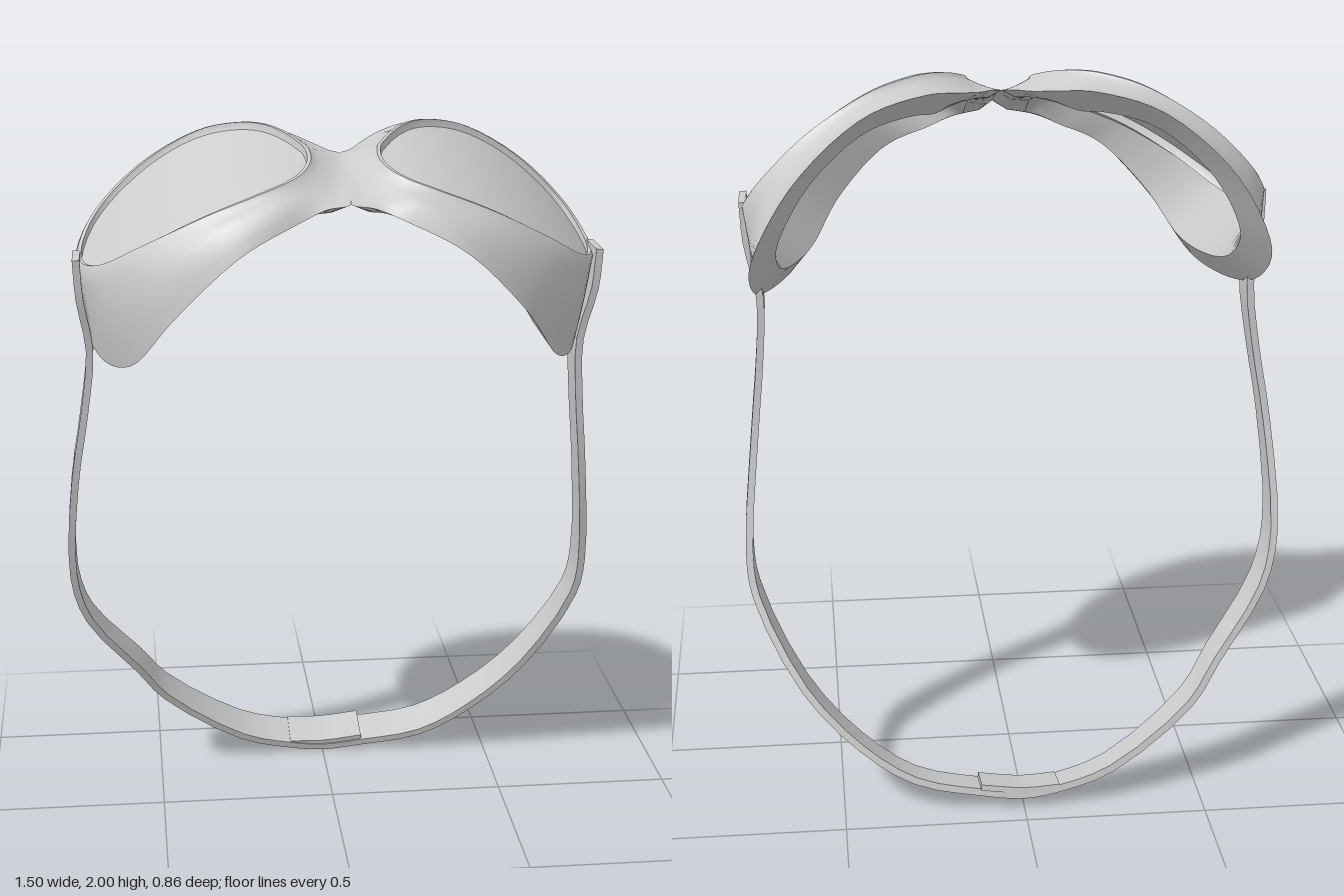
import * as THREE from 'three';
import { mergeGeometries, toCreasedNormals } from 'three/addons/utils/BufferGeometryUtils.js';

const V = (x, y, z) => new THREE.Vector3(x, y, z);
const { clamp, lerp, smoothstep } = THREE.MathUtils;

// Skin a list of closed rings that all have the same point count
function loft(rings, flip = false) {
  const n = rings[0].length, pos = [], index = [];
  rings.forEach(r => r.forEach(p => pos.push(p.x, p.y, p.z)));
  for (let i = 0; i < rings.length - 1; i++) {
    for (let j = 0; j < n; j++) {
      const k = (j + 1) % n;
      const a = i * n + j, b = a + n, c = i * n + k, d = c + n;
      if (flip) index.push(a, b, c, c, b, d);
      else index.push(a, c, b, c, d, b);
    }
  }
  const g = new THREE.BufferGeometry();
  g.setAttribute('position', new THREE.Float32BufferAttribute(pos, 3));
  g.setIndex(index);
  return g;
}

// Rings of the left half, mirrored for the right half
const half = (rings, side) => loft(rings.map(r => r.map(p => V(p.x * side, p.y, p.z))), side < 0);

function mesh(name, geometry, crease) {
  const material = new THREE.MeshStandardMaterial({ color: 0xcccccc, side: THREE.DoubleSide });
  const m = new THREE.Mesh(toCreasedNormals(geometry, crease), material);
  m.name = name;
  return m;
}

// Curved, tilted sheet on which the lens lies
const lensY = (x, z) => 1.968 - (x - 0.1) ** 2 - 0.34 * (z - 0.07);

// Lens outline (x, z) and matching face-side outline (x, y, z), from the nose round the back
const LENS = [[0.105, 0.13], [0.12, 0.1], [0.15, 0.05], [0.2, -0.01], [0.26, -0.055], [0.37, -0.11], [0.53, -0.145],
  [0.65, -0.13], [0.692, -0.05], [0.685, 0.05], [0.63, 0.17], [0.52, 0.265], [0.37, 0.325], [0.23, 0.325],
  [0.16, 0.295], [0.12, 0.25], [0.1, 0.19]];
const FACE = [[0, 1.93, 0.07], [0.028, 1.935, 0.045], [0.07, 1.945, -0.03], [0.13, 1.96, -0.11], [0.22, 1.97, -0.18],
  [0.39, 1.93, -0.265], [0.57, 1.78, -0.325], [0.685, 1.57, -0.275], [0.69, 1.43, -0.1], [0.64, 1.38, 0.1],
  [0.565, 1.41, 0.25], [0.46, 1.56, 0.38], [0.29, 1.73, 0.43], [0.14, 1.805, 0.39], [0.06, 1.835, 0.358],
  [0, 1.845, 0.35], [0, 1.9, 0.2]];
const SEG = 84;

function smoothLoop(points) {
  const curve = new THREE.CatmullRomCurve3(points, true, 'centripetal');
  return Array.from({ length: SEG }, (_, i) => curve.getPoint(i / SEG));
}

// Soft frame with both lenses
function eyewear() {
  const group = new THREE.Group();
  group.name = 'eyewear';
  const edge = smoothLoop(LENS.map(([x, z]) => V(x, lensY(x, z), z)));
  const face = smoothLoop(FACE.map(p => V(...p)));
  face.forEach(p => { p.x = Math.max(0, p.x); });
  const middle = V(0.4, 0, 0.09), centroid = V(0.38, 1.68, 0.07);
  const outward = p => V(p.x - middle.x, 0, p.z - middle.z).normalize();
  const noseness = i => 1 - smoothstep(face[i].x, 0, 0.16);

  // Offset of the lens edge: outwards in plan, then up
  const offset = (out, up) => edge.map(p => p.clone().addScaledVector(outward(p), out).add(V(0, up, 0)));
  const rim = offset(0.018, 0.003);

  // Skirt: bulges at the front, hollow at the back, levels out on the bridge
  const skirt = t => rim.map((p, i) => {
    const q = p.clone().lerp(face[i], t), w = noseness(i);
    const bulge = 0.014 * clamp(q.z * 5, -1, 1) * Math.sin(Math.PI * t) * (1 - w);
    q.addScaledVector(outward(q), bulge);
    q.y = lerp(q.y + bulge, lerp(p.y, face[i].y, Math.sin(t * Math.PI / 2)), w);
    q.x = Math.max(0, q.x);
    return q;
  });

  // Flange that rests on the face
  const flange = t => face.map((p, i) => {
    const q = p.clone().lerp(centroid, t);
    q.y = lerp(q.y, p.y - 0.02, noseness(i));
    return q;
  });
  const rings = [offset(0, -0.012), offset(0.002, 0.012), offset(0.012, 0.012), rim,
    skirt(0.2), skirt(0.4), skirt(0.6), skirt(0.8), face,
    flange(0.1), flange(0.23), offset(0, -0.035), offset(-0.012, -0.03), offset(0, -0.012)];
  group.add(mesh('frame', mergeGeometries([half(rings, 1), half(rings, -1)]), 0.8));

  // Lens: shrinking outlines that follow the curved sheet
  const lens = [];
  for (let i = 0; i <= 8; i++) {
    lens.push(edge.map(p => {
      const x = lerp(middle.x, p.x, i / 8), z = lerp(middle.z, p.z, i / 8);
      return V(x, lensY(x, z) - 0.008, z);
    }));
  }
  group.add(mesh('leftLens', half(lens, 1), 0.7), mesh('rightLens', half(lens, -1), 0.7));
  return group;
}

// Flat band along a path of [x, y, z, width]
function band(path, thickness, samples) {
  const curve = new THREE.CatmullRomCurve3(path.map(p => V(p[0], p[1], p[2])), false, 'centripetal');
  const rings = [];
  for (let i = 0; i <= samples; i++) {
    const t = i / samples, p = curve.getPoint(t), tangent = curve.getTangent(t);
    const f = t * (path.length - 1), k = Math.min(Math.floor(f), path.length - 2);
    const halfWidth = lerp(path[k][3], path[k + 1][3], f - k) / 2;
    // The band tilts slightly where it runs round the back of the head
    const w = V(0, 0.25 * clamp(1 - p.y / 0.6, 0, 1), -1).normalize();
    const n = tangent.cross(w).normalize();
    rings.push([[1, 1], [-1, 1], [-1, -1], [1, -1]].map(([a, b]) =>
      p.clone().addScaledVector(w, a * halfWidth).addScaledVector(n, b * thickness / 2)));
  }
  // Close both ends
  for (const end of [rings[0], rings[samples]]) {
    const centre = end[0].clone().add(end[2]).multiplyScalar(0.5);
    const cap = end.map(() => centre);
    if (end === rings[0]) rings.unshift(cap);
    else rings.push(cap);
    samples++;
  }
  return loft(rings);
}

export function createModel() {
  const group = new THREE.Group();
  group.name = 'goggles';
  const eyes = eyewear();
  eyes.position.x = 0.012;
  group.add(eyes);

  // Head strap, from the left eyepiece round the back to the right one
  group.add(mesh('strap', band([
    [0.722, 1.66, 0.035, 0.13], [0.715, 1.55, 0.025, 0.13], [0.685, 1.4, 0.005, 0.11], [0.69, 1.25, -0.005, 0.1],
    [0.715, 1.0, -0.035, 0.1], [0.74, 0.7, -0.115, 0.115], [0.725, 0.58, -0.15, 0.12], [0.6, 0.33, -0.25, 0.125],
    [0.45, 0.17, -0.31, 0.125], [0.3, 0.075, -0.345, 0.125], [0.12, 0.04, -0.365, 0.125], [0, 0.027, -0.37, 0.125],
    [-0.1, 0.04, -0.365, 0.125], [-0.25, 0.085, -0.345, 0.125], [-0.48, 0.25, -0.285, 0.125],
    [-0.56, 0.36, -0.24, 0.125], [-0.7, 0.55, -0.16, 0.12], [-0.74, 0.7, -0.115, 0.115], [-0.725, 1.0, -0.035, 0.1],
    [-0.69, 1.22, -0.008, 0.1], [-0.67, 1.4, 0.005, 0.11], [-0.692, 1.55, 0.025, 0.13], [-0.698, 1.66, 0.035, 0.13],
  ], 0.02, 66), 0.5));

  // Doubled layer where the strap ends overlap
  group.add(mesh('strapOverlap', band([
    [0.12, 0.056, -0.367, 0.125], [0, 0.042, -0.37, 0.125], [-0.1, 0.046, -0.367, 0.125],
  ], 0.016, 6), 0.5));
  return group;
}
